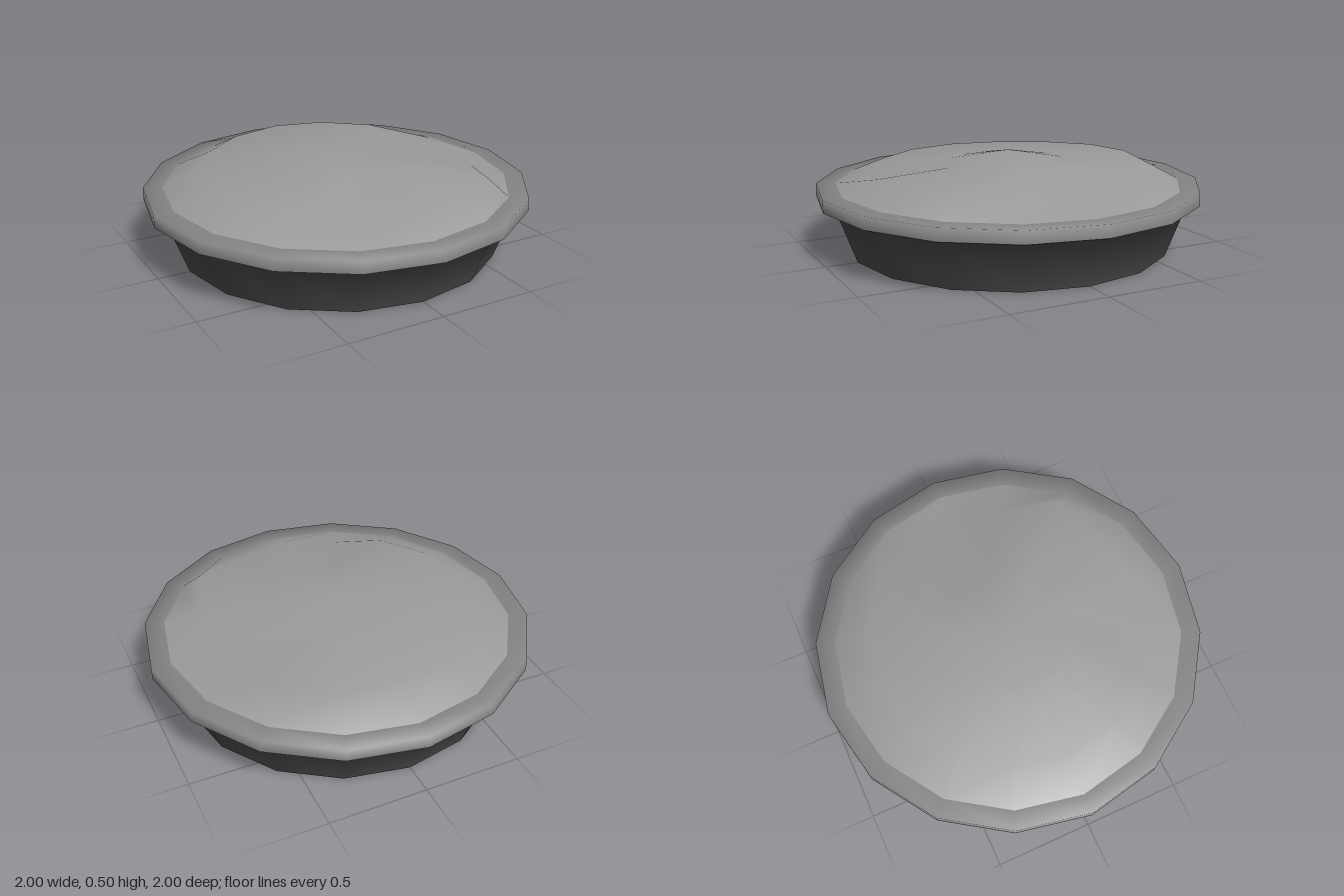
import * as THREE from 'three';
import { toCreasedNormals } from 'three/addons/utils/BufferGeometryUtils.js';

const SIDES = 16;

// Uneven shoulder of the crust, one height per side starting at +z and turning to +x
const SHOULDER = [0.41, 0.41, 0.425, 0.385, 0.345, 0.365, 0.42, 0.43,
  0.435, 0.43, 0.42, 0.415, 0.415, 0.415, 0.41, 0.37];

function crustGeometry() {
  const rings = [
    () => [0.9, 0.335],
    k => [k === 2 || k === 4 ? 0.79 : 0.72, SHOULDER[k]],
    () => [0.33, 0.434],
  ];
  const pos = [], index = [];
  rings.forEach((ring, j) => {
    for (let k = 0; k < SIDES; k++) {
      const a = k / SIDES * Math.PI * 2, [r, y] = ring(k);
      pos.push(Math.sin(a) * r, y, Math.cos(a) * r);
      const next = (k + 1) % SIDES, o = j * SIDES, i = o + SIDES;
      if (j < rings.length - 1) index.push(o + k, o + next, i + next, o + k, i + next, i + k);
      else index.push(o + k, o + next, rings.length * SIDES);
    }
  });
  pos.push(0, 0.5, 0); // peak
  const g = new THREE.BufferGeometry();
  g.setAttribute('position', new THREE.Float32BufferAttribute(pos, 3));
  g.setIndex(index);
  g.computeVertexNormals();
  return g;
}

function lathe(points) {
  return new THREE.LatheGeometry(points.map(([r, y]) => new THREE.Vector2(r, y)), SIDES);
}

export function createModel() {
  const group = new THREE.Group();
  group.name = 'pie';

  const add = (name, geometry, color) => {
    const mesh = new THREE.Mesh(geometry, new THREE.MeshStandardMaterial({ color }));
    mesh.name = name;
    group.add(mesh);
  };

  // Dark flared dish: base, sloping wall and underside of the lip
  add('dish', toCreasedNormals(lathe([[0, 0], [0.835, 0], [0.925, 0.24], [1, 0.27]]), 1.0), 0x505050);

  // Pastry rim, softly shaded over its outer edge
  add('rim', lathe([[1, 0.27], [1, 0.335], [0.9, 0.335]]), 0x848484);

  // Domed, uneven crust
  add('crust', crustGeometry(), 0x9c9c9c);

  return group;
}
